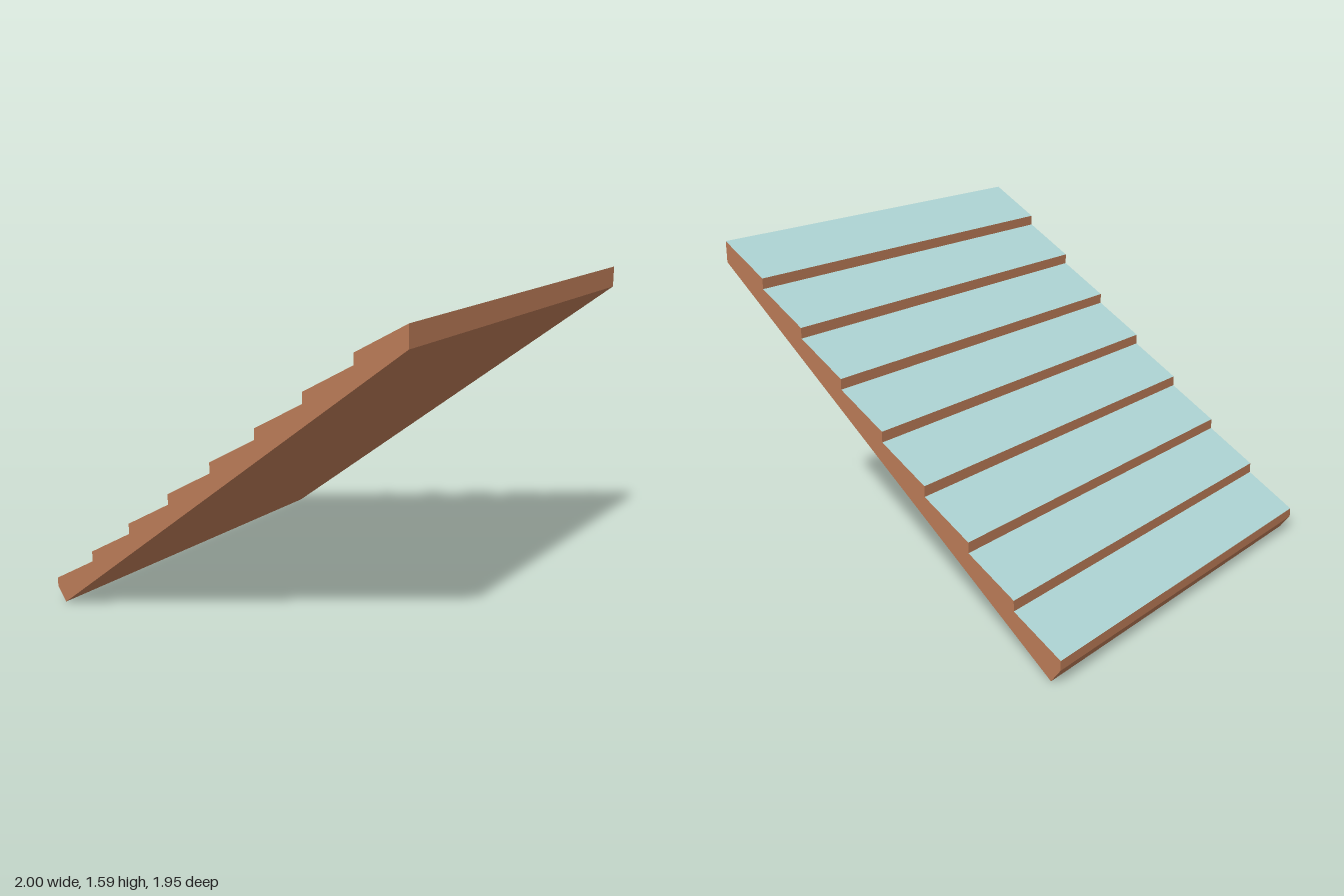
import * as THREE from 'three';
import { mergeGeometries } from 'three/addons/utils/BufferGeometryUtils.js';

const HALF_DEPTH = 0.977;
const STEPS = 8, RUN = 2 / STEPS, RISE = 0.19, TREAD_RISE = 0.14;

// Flat strip spanning the full depth between two profile points;
// faces outward when the profile runs counter-clockwise.
function strip([px, py], [qx, qy]) {
  const d = HALF_DEPTH;
  const geometry = new THREE.BufferGeometry();
  geometry.setAttribute('position', new THREE.Float32BufferAttribute(
    [px, py, d, px, py, -d, qx, qy, -d, qx, qy, d], 3));
  geometry.setIndex([0, 1, 2, 0, 2, 3]);
  geometry.computeVertexNormals();
  return geometry;
}

export function createModel() {
  const model = new THREE.Group();
  model.name = 'steppedSlope';
  const wood = new THREE.MeshStandardMaterial({ color: 0xb97a56 });
  const covering = new THREE.MeshStandardMaterial({ color: 0xaed4d4 });
  const add = (name, geometry, material) => {
    const mesh = new THREE.Mesh(geometry, material);
    mesh.name = name;
    model.add(mesh);
  };

  // Sloping underside and end face, then the sawtooth top from high to low
  const profile = [[-0.95, 0], [1, 1.485]];
  const treads = [];
  for (let i = STEPS - 1; i >= 0; i--) {
    const x = -1 + i * RUN, y = 0.115 + i * RISE;
    const high = [x + RUN, y + TREAD_RISE], low = [x, y];
    profile.push(high, low);
    treads.push(strip(high, low));
  }
  profile.push([-1, 0.07]);

  // Every profile edge that is not a tread: underside, ends and risers
  const walls = [];
  profile.forEach((p, i) => {
    const isTread = i >= 2 && i < 2 + 2 * STEPS && i % 2 === 0;
    if (!isTread) walls.push(strip(p, profile[(i + 1) % profile.length]));
  });
  add('undersideAndRisers', mergeGeometries(walls), wood);
  add('treads', mergeGeometries(treads), covering);

  // Front and back side walls
  const shape = new THREE.Shape(profile.map(([x, y]) => new THREE.Vector2(x, y)));
  const front = new THREE.ShapeGeometry(shape);
  const back = front.clone();
  back.index.array.reverse();
  back.computeVertexNormals();
  add('frontSide', front.translate(0, 0, HALF_DEPTH), wood);
  add('backSide', back.translate(0, 0, -HALF_DEPTH), wood);

  return model;
}
